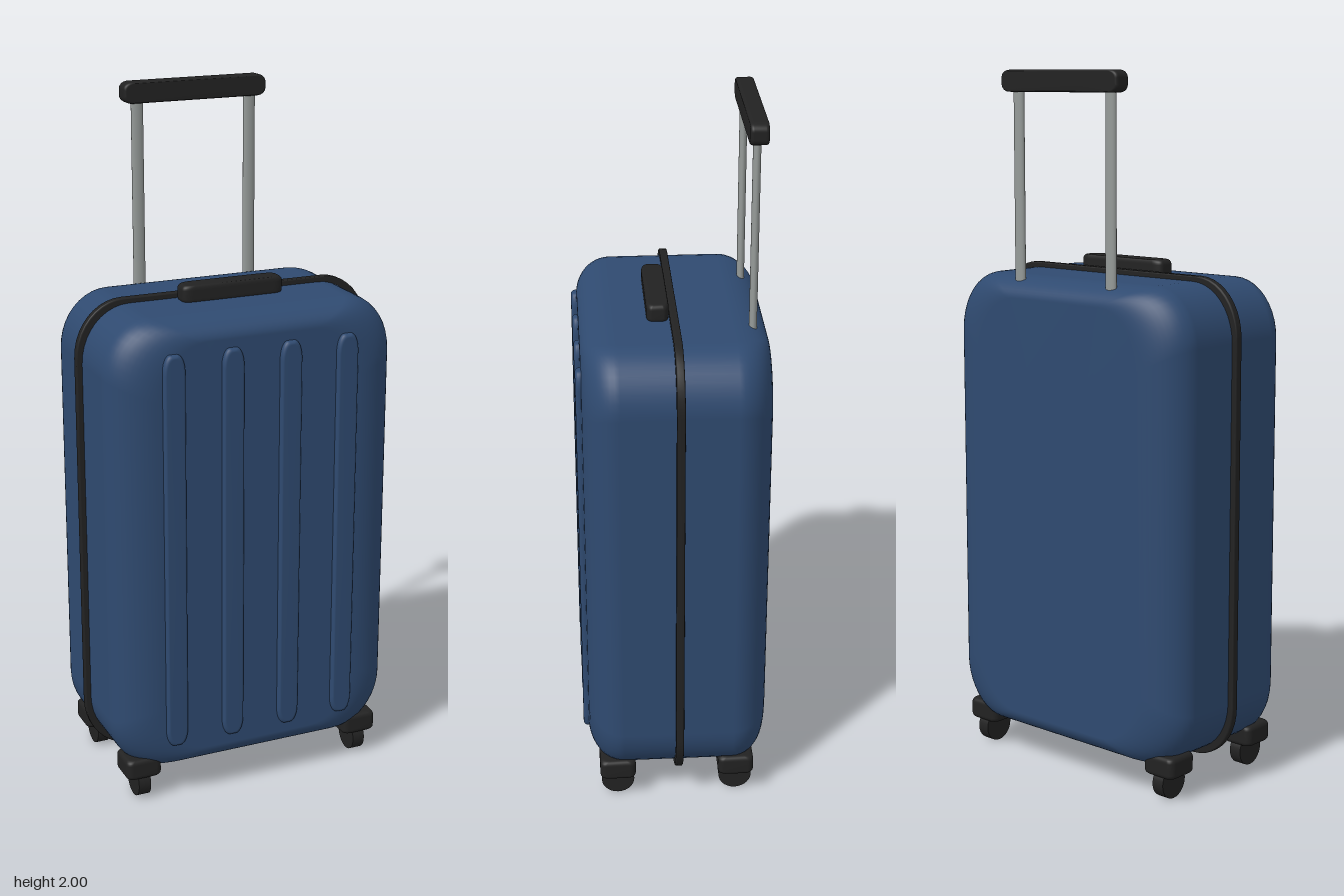
import * as THREE from 'three';

const mat = (name, color) => {
  const m = new THREE.MeshStandardMaterial({ color });
  m.name = name;
  return m;
};

// Rounded rectangle outline, counter-clockwise, with elliptical corners
function outline(hx, hy, rx, ry, steps = 10) {
  const pts = [];
  for (let q = 0; q < 4; q++) {
    const sx = q === 0 || q === 3 ? 1 : -1, sy = q < 2 ? 1 : -1;
    for (let i = 0; i <= steps; i++) {
      const a = (q + i / steps) * Math.PI / 2;
      pts.push([sx * (hx - rx) + rx * Math.cos(a), sy * (hy - ry) + ry * Math.sin(a)]);
    }
  }
  return pts;
}

// Smooth slab along z: half sizes, outline corner radii, and edge rounding (inset in x, y; depth in z)
function softSlab([hx, hy, hz], [rx, ry], [ix, iy, rz], steps = 8) {
  const sections = [];
  for (const s of [-1, 1]) {
    for (let i = 0; i <= steps; i++) {
      const t = (s < 0 ? 1 - i / steps : i / steps) * Math.PI / 2;
      const k = 1 - Math.cos(t);
      sections.push({ z: s * (hz - rz + rz * Math.sin(t)), pts: outline(hx - ix * k, hy - iy * k, rx, ry) });
    }
  }
  const n = sections[0].pts.length, pos = [], idx = [];
  sections.forEach(({ z, pts }) => pts.forEach(([x, y]) => pos.push(x, y, z)));
  for (let i = 0; i < sections.length - 1; i++) {
    for (let j = 0; j < n; j++) {
      const k = (j + 1) % n, a = i * n + j, b = i * n + k;
      idx.push(a, b, b + n, a, b + n, a + n);
    }
  }
  // End faces
  const last = (sections.length - 1) * n, back = pos.length / 3, front = back + 1;
  pos.push(0, 0, -hz, 0, 0, hz);
  for (let j = 0; j < n; j++) {
    const k = (j + 1) % n;
    idx.push(back, k, j, front, last + j, last + k);
  }
  const g = new THREE.BufferGeometry();
  g.setAttribute('position', new THREE.Float32BufferAttribute(pos, 3));
  g.setIndex(idx);
  g.computeVertexNormals();
  return g;
}

export function createModel() {
  const blue = mat('navy shell', 0x2f4a70);
  const black = mat('black plastic', 0x222222);
  const metal = mat('grey metal', 0x959a98);
  const group = new THREE.Group();
  group.name = 'suitcase';

  const add = (name, geometry, material, x, y, z) => {
    const mesh = new THREE.Mesh(geometry, material);
    mesh.name = name;
    mesh.position.set(x, y, z);
    group.add(mesh);
    return mesh;
  };

  // Shell and the seam around its middle
  add('shell', softSlab([0.431, 0.67, 0.258], [0.14, 0.16], [0.13, 0.06, 0.1], 12), blue, 0, 0.76, -0.008);
  add('seam', softSlab([0.447, 0.685, 0.0115], [0.14, 0.16], [0.004, 0.004, 0.004], 3), black, 0, 0.76, -0.009);

  // Raised ribs on the front
  const rib = softSlab([0.032, 0.583, 0.02], [0.022, 0.05], [0.008, 0.01, 0.012], 5);
  for (const x of [-0.26, -0.087, 0.087, 0.26]) add('rib', rib, blue, x, 0.763, 0.245);

  // Carry handle on top
  const carry = softSlab([0.152, 0.031, 0.026], [0.03, 0.016], [0.012, 0.006, 0.014], 5);
  carry.rotateX(-Math.PI / 2);
  add('carryHandle', carry, black, 0, 1.45, 0.035);

  // Telescopic handle
  const pole = new THREE.CylinderGeometry(0.018, 0.018, 0.57, 20);
  pole.scale(1, 1, 0.6);
  for (const s of [-1, 1]) add('pole', pole, metal, s * 0.172, 1.68, -0.222);
  const grip = softSlab([0.217, 0.03, 0.025], [0.026, 0.02], [0.008, 0.004, 0.01], 5);
  add('grip', grip, black, 0, 1.97, -0.225);

  // Four wheels with their housings
  const housing = softSlab([0.053, 0.052, 0.031], [0.018, 0.018], [0.012, 0.012, 0.014], 5);
  housing.rotateX(-Math.PI / 2);
  const wheel = new THREE.CylinderGeometry(0.048, 0.048, 0.037, 28);
  wheel.rotateZ(Math.PI / 2);
  for (const x of [-0.347, 0.347]) {
    for (const z of [0.169, -0.177]) {
      add('wheelHousing', housing, black, x, 0.101, z);
      add('wheel', wheel, black, x, 0.048, z);
    }
  }
  return group;
}
